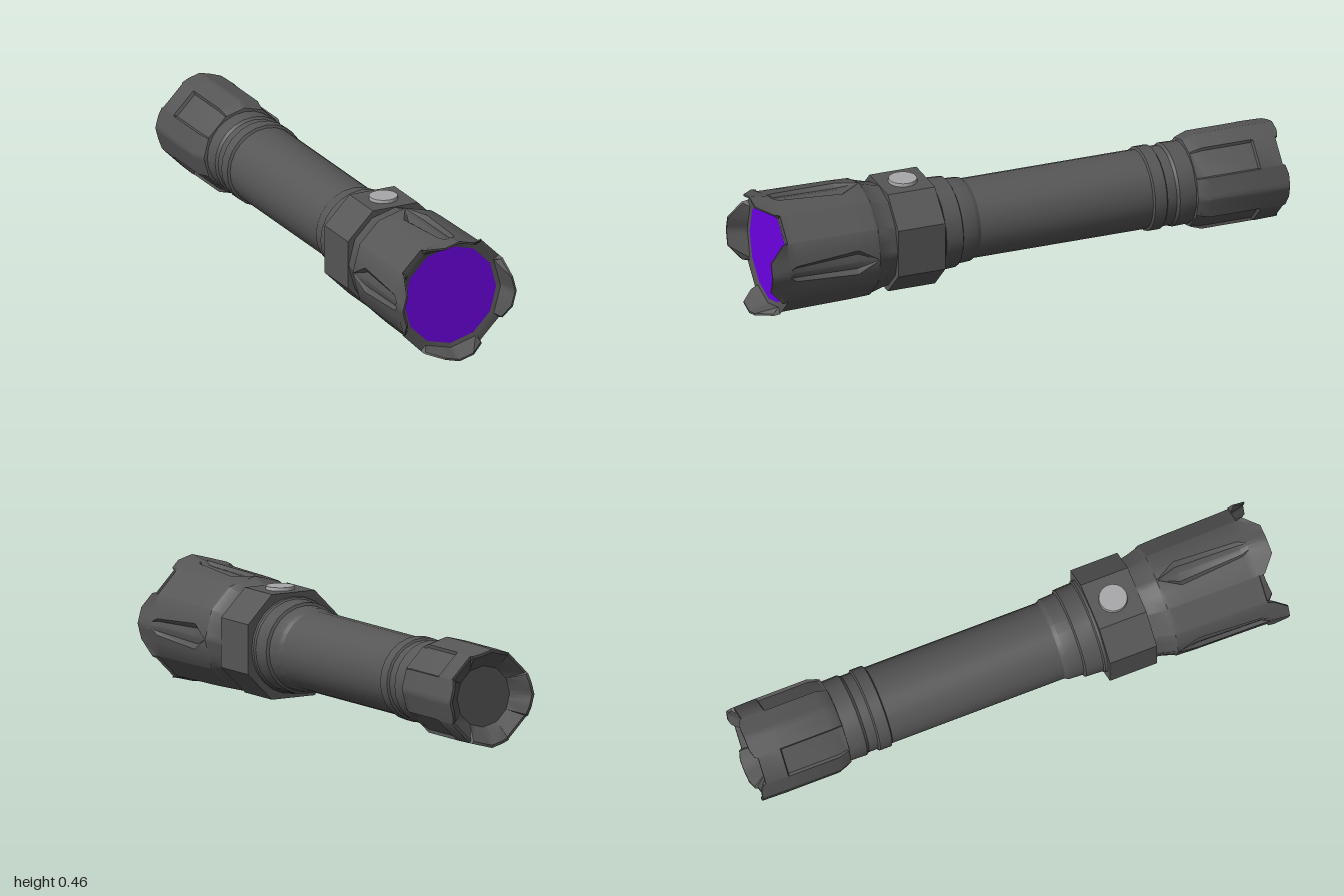
import * as THREE from 'three';
import { toCreasedNormals } from 'three/addons/utils/BufferGeometryUtils.js';

const AXIS_Y = 0.23;
const RAD = Math.PI / 180;

// radius of a 12-sided outline (corner radius R) at an angle in degrees
const polyRadius = (R, deg) => R * Math.cos(15 * RAD) / Math.cos(((deg % 30) - 15) * RAD);

// One ring of a four-fold symmetric shell around the z axis.
// z: number, or [tab, shoulder, notch] for a castellated rim
// g, d: half angle and depth of the grip groove
// e, p: start angle and depth of the flat panel
function ring({ z, R, g = 7, d = 0, e = 30, p = 0 }) {
  const [tab, shoulder, notch] = Array.isArray(z) ? z : [z, z, z];
  const cols = [
    [0, tab, d], [g * 0.65, tab, d], [g, tab, 0], [15, tab, 0],
    [e, shoulder, 0], [e + 1.5, notch, p], [88.5 - e, notch, p], [90 - e, shoulder, 0],
    [75, tab, 0], [90 - g, tab, 0], [90 - g * 0.65, tab, d],
  ];
  const points = [];
  for (let q = 0; q < 4; q++) {
    for (const [deg, zz, inset] of cols) {
      const r = polyRadius(R, deg) - inset, a = (deg + q * 90) * RAD;
      points.push([r * Math.cos(a), r * Math.sin(a), zz]);
    }
  }
  return points;
}

// Skin a list of rings into a closed shell
function loft(rows) {
  const rings = rows.map(ring), n = rings[0].length, index = [];
  for (let i = 0; i < rings.length - 1; i++) {
    for (let j = 0; j < n; j++) {
      const k = (j + 1) % n;
      const a = i * n + j, b = i * n + k, c = b + n, d = a + n;
      index.push(a, b, c, a, c, d);
    }
  }
  const geo = new THREE.BufferGeometry();
  geo.setAttribute('position', new THREE.Float32BufferAttribute(rings.flat(2), 3));
  geo.setIndex(index);
  return toCreasedNormals(geo, 0.56);
}

export function createModel() {
  const model = new THREE.Group();
  model.name = 'flashlight';
  const dark = new THREE.MeshStandardMaterial({ name: 'dark grey metal', color: 0x565656 });
  const purple = new THREE.MeshStandardMaterial({ name: 'purple lens', color: 0x6e00e6 });
  const silver = new THREE.MeshStandardMaterial({ name: 'light grey button', color: 0xa8a8aa });

  const add = (name, geo, material, y = AXIS_Y, z = 0) => {
    const mesh = new THREE.Mesh(geo, material);
    mesh.name = name;
    mesh.position.set(0, y, z);
    model.add(mesh);
    return mesh;
  };

  // Head: neck, grooved bell, thin castellated rim and flat bezel
  add('head', loft([
    { z: 0.49, R: 0.185 },
    { z: 0.53, R: 0.193 },
    { z: 0.575, R: 0.206 },
    { z: 0.58, R: 0.211, g: 0.5 },
    { z: 0.59, R: 0.212, g: 1.5, d: 0.004 },
    { z: 0.66, R: 0.215, g: 13, d: 0.016 },
    { z: 0.90, R: 0.219, g: 8, d: 0.014 },
    { z: 0.928, R: 0.22, g: 4 },
    { z: [1, 0.95, 0.93], R: 0.229 },
    { z: [1, 0.95, 0.93], R: 0.222 },
    { z: 0.929, R: 0.201 },
    { z: 0.925, R: 0.183 },
  ]), dark);

  // Lens
  add('lens', new THREE.CircleGeometry(0.185, 12), purple, AXIS_Y, 0.926);

  // Eight-sided switch collar
  const s = 0.19, c = 0.09;
  const outline = [[s, -c], [s, c], [c, s], [-c, s], [-s, c], [-s, -c], [-c, -s], [c, -s]];
  const collar = new THREE.Shape(outline.map(([x, y]) => new THREE.Vector2(x, y)));
  add('switchCollar', new THREE.ExtrudeGeometry(collar, { depth: 0.18, bevelEnabled: false }),
    dark, AXIS_Y, 0.325);

  // Button on top of the collar
  add('button', toCreasedNormals(new THREE.CylinderGeometry(0.051, 0.053, 0.014, 20), 0.6),
    silver, 0.425, 0.413);

  // Barrel with its stepped rings, given as [z, radius]
  const profile = [
    [-0.66, 0.15], [-0.59, 0.152], [-0.58, 0.145], [-0.545, 0.145], [-0.54, 0.153],
    [-0.495, 0.153], [-0.49, 0.144], [0.17, 0.144], [0.185, 0.152], [0.24, 0.155],
    [0.245, 0.165], [0.31, 0.168], [0.315, 0.174], [0.33, 0.176],
  ].map(([z, r]) => new THREE.Vector2(r, z));
  const barrel = new THREE.LatheGeometry(profile, 24).rotateX(Math.PI / 2);
  add('barrel', toCreasedNormals(barrel, 0.45), dark);

  // Tail cap: dished end, scalloped rim, flat grip panels
  const tailRim = [-1, -0.99, -0.98];
  add('tailCap', loft([
    { z: -0.94, R: 0.11 },
    { z: tailRim, R: 0.168, e: 26 },
    { z: tailRim, R: 0.178, e: 26 },
    { z: -0.895, R: 0.18, e: 26 },
    { z: -0.89, R: 0.18, e: 26, p: 0.012 },
    { z: -0.70, R: 0.18, e: 26, p: 0.012 },
    { z: -0.665, R: 0.168, e: 26, p: 0.007 },
    { z: -0.655, R: 0.163, e: 26 },
    { z: -0.65, R: 0.14, e: 26 },
  ]), dark);

  // Tail switch at the bottom of the dish
  const tailSwitch = add('tailSwitch', new THREE.CircleGeometry(0.112, 24), dark, AXIS_Y, -0.941);
  tailSwitch.rotation.y = Math.PI;

  return model;
}
